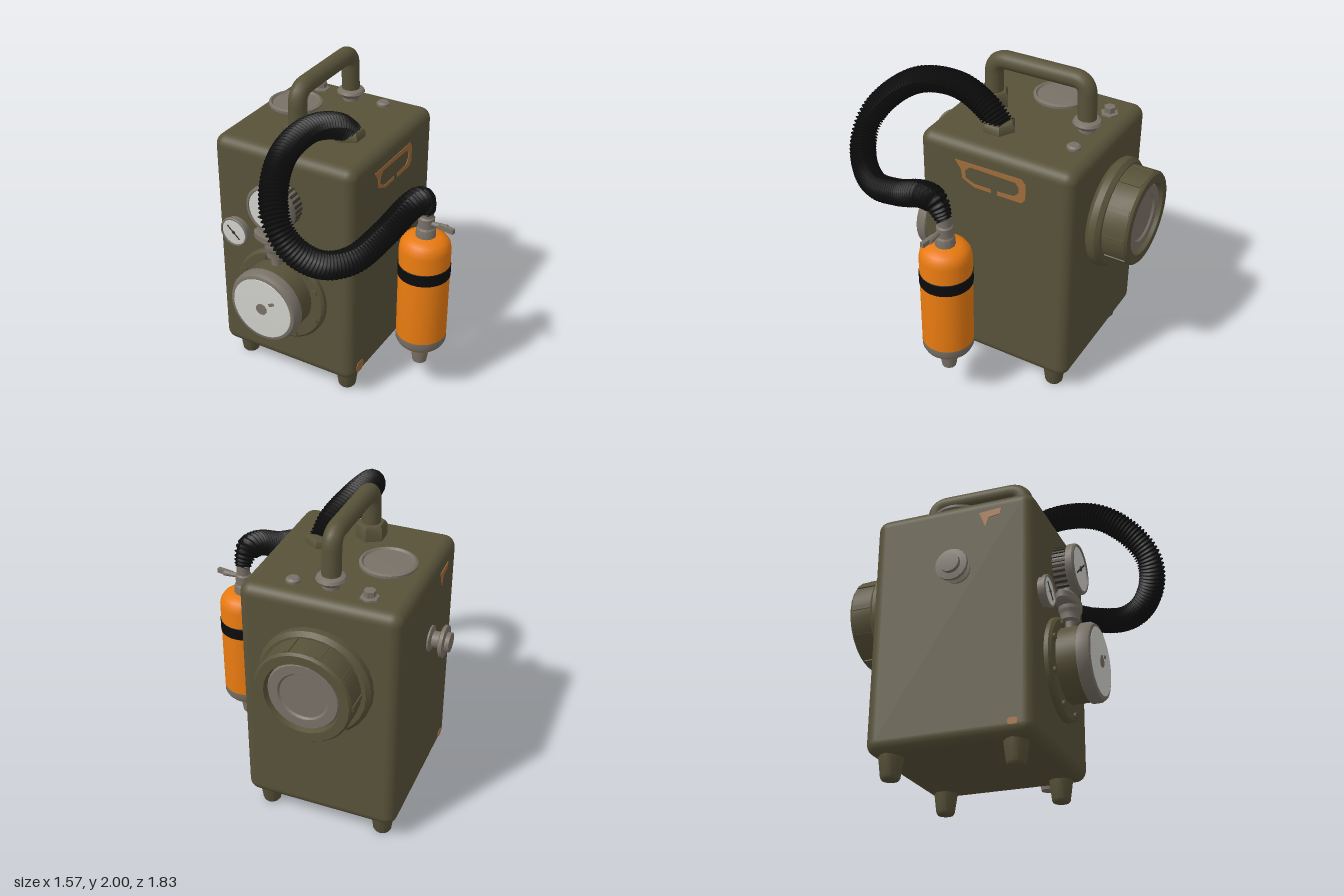
import * as THREE from 'three';
import { toCreasedNormals } from 'three/addons/utils/BufferGeometryUtils.js';
import { RoundedBoxGeometry } from 'three/addons/geometries/RoundedBoxGeometry.js';

const mat = (name, color, side = THREE.FrontSide) => {
  const m = new THREE.MeshStandardMaterial({ color, side });
  m.name = name;
  return m;
};

export function createModel() {
  const olive = mat('olive paint', 0x585239);
  const grey = mat('worn grey metal', 0x787167);
  const orange = mat('orange paint', 0xe87a10);
  const black = mat('black rubber', 0x0c0c0c);
  const white = mat('dial white', 0xcfcfcb);
  const dark = mat('dark marking', 0x3a362e);
  const rust = mat('bare rust', 0xa06c3c);

  const root = new THREE.Group();
  root.name = 'portableTank';
  const add = (name, geo, material, pos = [0, 0, 0], rot = [0, 0, 0]) => {
    const m = new THREE.Mesh(geo, material);
    m.name = name;
    m.position.set(...pos);
    m.rotation.set(...rot);
    root.add(m);
    return m;
  };
  // Turned part: profile of [radius, height] from bottom to top, sharp edges kept
  const turned = (profile, sides = 32) => toCreasedNormals(
    new THREE.LatheGeometry(profile.map(p => new THREE.Vector2(...p)), sides), 0.6);
  const FRONT = [Math.PI / 2, 0, 0], BACK = [-Math.PI / 2, 0, 0], SIDE = [0, 0, Math.PI / 2];

  // Main casing and feet
  add('casing', new RoundedBoxGeometry(0.96, 1.5, 1.01, 4, 0.07), olive, [-0.18, 0.88, -0.155]);
  for (const x of [-0.55, 0.19]) for (const z of [-0.535, 0.21]) {
    add('foot', turned([[0, 0], [0.048, 0], [0.056, 0.012], [0.073, 0.14], [0, 0.15]], 12), olive, [x, 0, z]);
  }

  // Gauges on the front: rim, face, needle, pivot
  const gauge = (name, x, y, r, depth, angle) => {
    add(name + 'Rim', turned([[r * 0.9, 0], [r * 0.9, depth * 0.6], [r, depth * 0.65], [r, depth * 0.93],
      [r * 0.95, depth], [r * 0.88, depth], [r * 0.87, depth - 0.01], [0, depth - 0.01]]), grey, [x, y, 0.34], FRONT);
    add(name + 'Face', turned([[r * 0.88, 0], [0, 0.004]]), white, [x, y, 0.332 + depth], FRONT);
    add(name + 'Needle', new THREE.BoxGeometry(r * 1.2, r * 0.07, 0.004), dark, [x, y, 0.339 + depth], [0, 0, angle]);
    add(name + 'Pivot', new THREE.CylinderGeometry(r * 0.1, r * 0.1, 0.006, 12), dark, [x, y, 0.339 + depth], FRONT);
  };
  gauge('largeGauge', -0.185, 1.315, 0.157, 0.145, 0.7);
  gauge('smallGauge', -0.505, 1.025, 0.097, 0.06, -0.75);
  // Grip ribs round the large gauge
  for (let i = 0; i < 28; i++) {
    const a = i / 28 * Math.PI * 2;
    add('gaugeRib', new THREE.BoxGeometry(0.016, 0.016, 0.085), dark,
      [-0.185 + Math.cos(a) * 0.142, 1.315 + Math.sin(a) * 0.142, 0.385], [0, 0, a]);
  }

  // Valve between the gauges
  const wheel = add('valveWheel', turned([[0, 0], [0.14, 0], [0.153, 0.012], [0.153, 0.048], [0.14, 0.06], [0, 0.06]], 20),
    grey, [-0.188, 1.06, 0.405]);
  wheel.scale.z = 0.45;
  add('valveStem', turned([[0, 0], [0.032, 0], [0.032, 0.06], [0.058, 0.07], [0.058, 0.11], [0.07, 0.13], [0.07, 0.16],
    [0, 0.16]], 14), grey, [-0.188, 0.905, 0.41]);
  add('valveKnob', new THREE.CylinderGeometry(0.04, 0.045, 0.08, 12), grey, [-0.188, 1.15, 0.4]);

  // Regulator drum on the front
  const rx = -0.185, ry = 0.69;
  add('regulatorFlange', turned([[0.31, 0], [0.31, 0.03], [0.295, 0.045], [0, 0.045]], 40), olive, [rx, 0.67, 0.345], FRONT);
  add('regulatorDrum', turned([[0.225, 0], [0.225, 0.14], [0, 0.14]], 36), olive, [rx, ry, 0.38], FRONT);
  add('regulatorRim', turned([[0.225, 0], [0.236, 0.005], [0.236, 0.05], [0.222, 0.075], [0.205, 0.08], [0, 0.08]], 36),
    grey, [rx, ry, 0.508], FRONT);
  add('regulatorFace', turned([[0.205, 0], [0.2, 0.004], [0, 0.008]], 36), white, [rx, ry, 0.586], FRONT);
  add('regulatorPivot', new THREE.CylinderGeometry(0.038, 0.038, 0.006, 10), grey, [rx, ry, 0.595], FRONT);
  add('regulatorMark', new THREE.BoxGeometry(0.04, 0.02, 0.004), grey, [rx + 0.07, ry + 0.055, 0.592], [0, 0, 0.4]);
  for (let i = 0; i < 8; i++) {
    const a = (i + 0.5) / 8 * Math.PI * 2;
    add('flangeBolt', new THREE.CylinderGeometry(0.02, 0.02, 0.02, 6), olive,
      [rx + Math.cos(a) * 0.27, 0.67 + Math.sin(a) * 0.27, 0.395], FRONT);
  }

  // Large screw cap on the back
  add('backCollar', turned([[0.3, 0], [0.325, 0.02], [0.338, 0.035], [0.338, 0.075], [0.315, 0.1], [0, 0.1]], 28),
    olive, [-0.19, 1.14, -0.655], BACK);
  add('backCap', turned([[0.29, 0], [0.29, 0.15], [0.278, 0.165], [0.225, 0.165], [0.215, 0.13], [0, 0.13]], 28),
    olive, [-0.19, 1.155, -0.745], BACK);
  add('backCapInsert', turned([[0.216, 0], [0.205, 0.018], [0.15, 0.018], [0.14, 0.006], [0, 0.006]], 28),
    grey, [-0.19, 1.155, -0.873], BACK);
  for (let i = 0; i < 10; i++) {
    const a = i / 10 * Math.PI * 2;
    add('capGrip', new THREE.BoxGeometry(0.02, 0.03, 0.13), olive,
      [-0.19 + Math.cos(a) * 0.285, 1.155 + Math.sin(a) * 0.285, -0.825], [0, 0, a]);
  }

  // Side outlet
  add('sideOutlet', turned([[0.08, 0], [0.08, 0.02], [0.05, 0.03], [0.05, 0.07], [0.075, 0.075], [0.098, 0.085],
    [0.098, 0.105], [0.06, 0.11], [0.06, 0.135], [0, 0.14]], 16), grey, [-0.65, 1.17, -0.11], SIDE);

  // Fittings on the lid
  add('fillerCap', turned([[0.1, 0], [0.1, 0.025], [0.165, 0.04], [0.165, 0.055], [0.15, 0.062], [0.14, 0.05], [0, 0.055]]),
    grey, [-0.42, 1.625, -0.2]);
  add('lidBolt', turned([[0.055, 0], [0.055, 0.015], [0.035, 0.02], [0.035, 0.055], [0, 0.06]], 6), grey, [-0.43, 1.625, -0.52]);
  add('lidBolt', turned([[0.042, 0], [0.042, 0.02], [0.03, 0.03], [0, 0.03]], 12), grey, [0.02, 1.625, -0.515]);
  add('hoseSocket', turned([[0.105, 0], [0.105, 0.035], [0.09, 0.055], [0, 0.055]], 6), olive, [0.04, 1.625, -0.04]);

  // Carrying handle
  const V = (x, y, z) => new THREE.Vector3(x, y, z);
  const hx = -0.195;
  const handlePath = new THREE.CurvePath();
  const h = [V(hx, 1.63, 0.13), V(hx, 1.84, 0.13), V(hx, 1.94, 0.03), V(hx, 1.945, -0.4), V(hx, 1.86, -0.48), V(hx, 1.66, -0.49)];
  handlePath.add(new THREE.LineCurve3(h[0], h[1]));
  handlePath.add(new THREE.QuadraticBezierCurve3(h[1], V(hx, 1.94, 0.13), h[2]));
  handlePath.add(new THREE.LineCurve3(h[2], h[3]));
  handlePath.add(new THREE.QuadraticBezierCurve3(h[3], V(hx, 1.945, -0.48), h[4]));
  handlePath.add(new THREE.LineCurve3(h[4], h[5]));
  add('handle', new THREE.TubeGeometry(handlePath, 60, 0.056, 14), olive);
  add('handleFrontBase', turned([[0.095, 0], [0.095, 0.08], [0.08, 0.1], [0, 0.1]], 6), olive, [hx, 1.625, 0.13]);
  add('handleBackBase', turned([[0.05, 0], [0.05, 0.025], [0.088, 0.06], [0.08, 0.075], [0.06, 0.085], [0, 0.085]], 16),
    grey, [hx, 1.625, -0.49]);

  // Corrugated hose: ribs made by pulsing the tube radius
  const hose = new THREE.CatmullRomCurve3([V(0.04, 1.64, -0.06), V(0.02, 1.73, 0.05), V(-0.03, 1.79, 0.27),
    V(-0.03, 1.75, 0.55), V(0.03, 1.62, 0.74), V(0.12, 1.48, 0.83), V(0.22, 1.36, 0.82), V(0.33, 1.265, 0.73),
    V(0.43, 1.245, 0.58), V(0.5, 1.31, 0.35), V(0.56, 1.405, 0.15), V(0.585, 1.405, 0.05), V(0.595, 1.31, -0.01)]);
  const rings = 420, hoseGeo = new THREE.TubeGeometry(hose, rings, 1, 14);
  const p = hoseGeo.attributes.position, v = new THREE.Vector3();
  for (let i = 0; i <= rings; i++) {
    const c = hose.getPointAt(i / rings);
    const taper = 1 - 0.4 * Math.max(0, (i / rings - 0.94) / 0.06);
    const r = (i % 4 < 2 ? 0.082 : 0.068) * taper;
    for (let j = 0; j <= 14; j++) {
      const k = i * 15 + j;
      v.fromBufferAttribute(p, k).sub(c).multiplyScalar(r).add(c);
      p.setXYZ(k, v.x, v.y, v.z);
    }
  }
  hoseGeo.computeVertexNormals();
  add('hose', hoseGeo, black);

  // Gas bottle, split by colour along its height
  const bottle = [0.59, 0, -0.008];
  add('bottleBase', turned([[0, 0.335], [0.085, 0.335], [0.13, 0.36], [0.144, 0.375]]), orange, bottle);
  add('bottleBaseBand', turned([[0.144, 0.375], [0.156, 0.4], [0.156, 0.44]]), grey, bottle);
  add('bottleBody', turned([[0.156, 0.44], [0.156, 1.055], [0.149, 1.09], [0.13, 1.118], [0.095, 1.137], [0, 1.142]]), orange, bottle);
  add('bottleStripe', turned([[0.156, 0.87], [0.16, 0.872], [0.16, 0.948], [0.156, 0.95]]), black, bottle);
  add('bottleNozzle', turned([[0, 0.21], [0.045, 0.21], [0.058, 0.3], [0.058, 0.325], [0.09, 0.33], [0.09, 0.342]], 12), grey, bottle);
  add('bottleValve', turned([[0.062, 1.13], [0.058, 1.19], [0.05, 1.2], [0.05, 1.26], [0.042, 1.27], [0.042, 1.33], [0, 1.33]], 12),
    grey, bottle);
  add('valveLever', new THREE.CylinderGeometry(0.013, 0.02, 0.12, 8), grey, [0.67, 1.235, 0.005], SIDE);
  add('valveLeverGrip', new THREE.BoxGeometry(0.1, 0.03, 0.025), grey, [0.73, 1.235, 0.015], [0, -0.15, 0]);

  // Worn paint: outlines drawn in (z, y), laid as thin plates on the sides
  const loop = (path, z0, z1, y0, y1, r) => {
    path.moveTo(z0 + r, y0);
    for (const [a, b, c, d] of [[z1, y0, z1, y0 + r], [z1, y1, z1 - r, y1], [z0, y1, z0, y1 - r], [z0, y0, z0 + r, y0]]) {
      path.lineTo(a === z1 && b === y0 ? z1 - r : a === z1 ? z1 : a === z0 && b === y1 ? z0 + r : z0,
        a === z1 && b === y0 ? y0 : a === z1 ? y1 - r : a === z0 && b === y1 ? y1 : y0 + r);
      path.quadraticCurveTo(a, b, c, d);
    }
    return path;
  };
  const plate = (name, shape, x) => add(name,
    new THREE.ExtrudeGeometry(shape, { depth: 0.004, bevelEnabled: false }), rust, [x, 0, 0], [0, -Math.PI / 2, 0]);
  const wear = new THREE.Shape([[0.1, 1.515], [-0.34, 1.52], [-0.365, 1.49], [-0.365, 1.39], [-0.34, 1.36], [-0.18, 1.36],
    [-0.18, 1.385], [-0.29, 1.39], [-0.32, 1.42], [-0.32, 1.46], [-0.3, 1.485], [0, 1.49], [0.03, 1.46], [0.03, 1.41],
    [-0.03, 1.385], [-0.14, 1.385], [-0.14, 1.362], [-0.03, 1.362], [0.05, 1.4], [0.06, 1.46]].map(q => new THREE.Vector2(...q)));
  plate('wornOutline', wear, 0.303);
  plate('wornCorner', loop(new THREE.Shape(), 0.205, 0.285, 0.175, 0.25, 0.035), 0.303);
  plate('wornChip', new THREE.Shape([[0.02, 1.53], [0.16, 1.54], [0.15, 1.5], [0.08, 1.49], [0.06, 1.43]]
    .map(q => new THREE.Vector2(...q))), -0.66);
  plate('wornChipLow', loop(new THREE.Shape(), 0.2, 0.26, 0.19, 0.23, 0.018), -0.66);
  return root;
}
